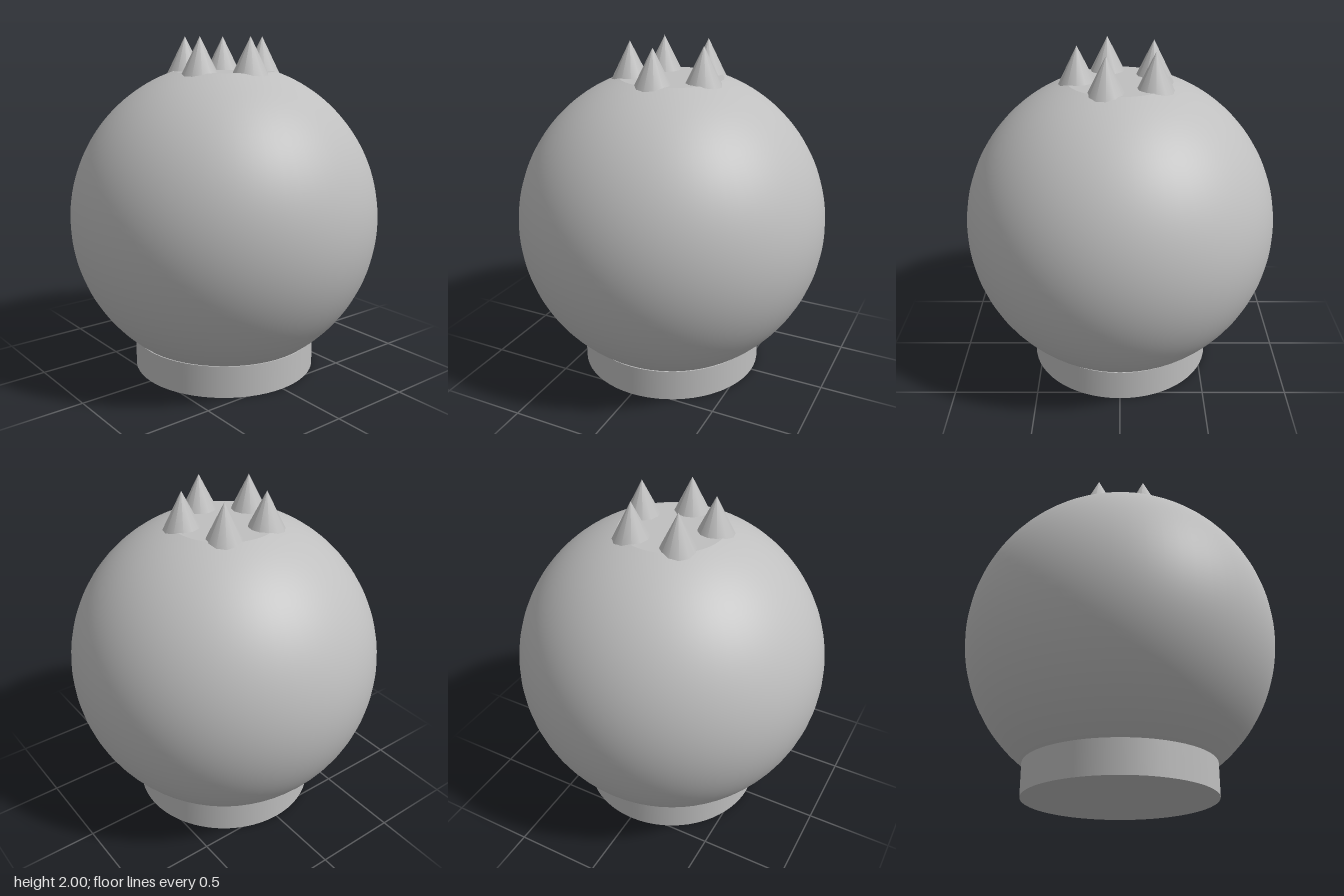
import * as THREE from 'three';

export function createModel() {
  const group = new THREE.Group();
  const grey = new THREE.MeshStandardMaterial({ color: 0xbfbfbf });
  grey.name = 'plain grey';

  const add = (name, geometry, x, y, z) => {
    const mesh = new THREE.Mesh(geometry, grey);
    mesh.name = name;
    mesh.position.set(x, y, z);
    group.add(mesh);
    return mesh;
  };

  // round body, cut flat at the top and open where it sits in the base
  const radius = 0.92, centreY = 0.93;
  const topAngle = Math.asin(0.3 / radius);
  const bottomAngle = 2.51;
  add('body', new THREE.SphereGeometry(radius, 64, 48, 0, Math.PI * 2, topAngle, bottomAngle - topAngle), 0, centreY, 0);

  // flat crown closing the cut
  const crownY = centreY + radius * Math.cos(topAngle);
  add('crown', new THREE.CircleGeometry(0.3, 64), 0, crownY, 0).rotation.x = -Math.PI / 2;

  // short round foot
  add('base', new THREE.CylinderGeometry(0.553, 0.553, 0.19, 64), 0, 0.095, 0);

  // ring of five spikes, sunk a little into the body
  const spike = new THREE.ConeGeometry(0.125, 0.25, 12);
  for (let i = 0; i < 5; i++) {
    const a = (i * Math.PI * 2) / 5;
    add('spike', spike, 0.24 * Math.cos(a), 1.875, 0.24 * Math.sin(a));
  }
  return group;
}
